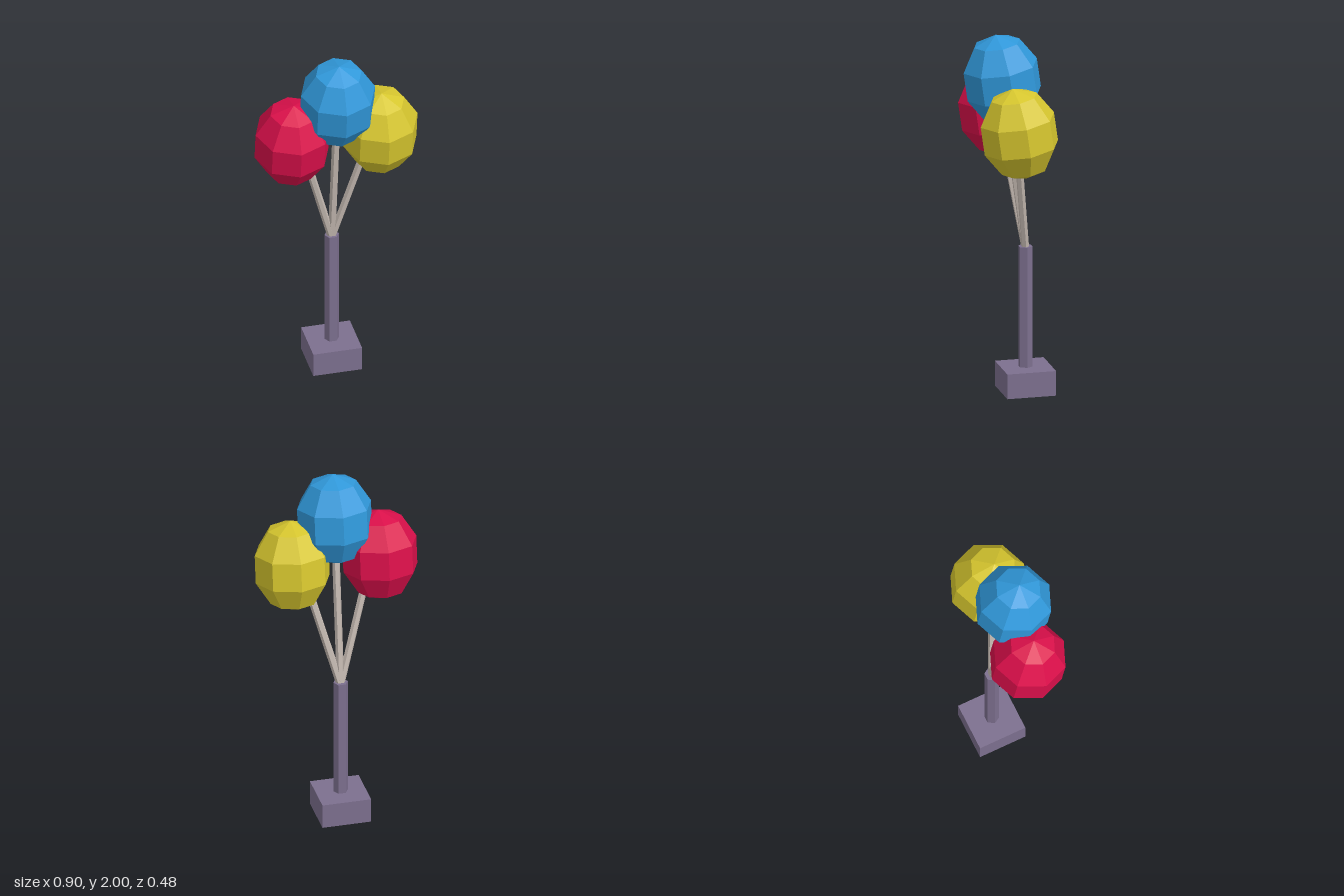
import * as THREE from 'three';

const flat = (name, color) => {
  const m = new THREE.MeshStandardMaterial({ color, flatShading: true });
  m.name = name;
  return m;
};

export function createModel() {
  const group = new THREE.Group();
  const purple = flat('dusty purple', 0x7c6f8e);
  const stick = flat('pale stick', 0xc4b9b1);
  const blue = flat('blue', 0x3098da);
  const red = flat('red', 0xda0f4a);
  const yellow = flat('yellow', 0xd6c62e);
  const Z = -0.105; // depth of the stand

  const add = (name, geometry, material, x, y, z) => {
    const mesh = new THREE.Mesh(geometry, material);
    mesh.name = name;
    mesh.position.set(x, y, z);
    group.add(mesh);
    return mesh;
  };

  // Stand
  add('base', new THREE.BoxGeometry(0.27, 0.138, 0.27), purple, 0, 0.069, Z);
  const pole = new THREE.CylinderGeometry(0.04, 0.04, 0.685, 6).rotateY(Math.PI / 6);
  add('pole', pole, purple, 0, 0.4675, Z);

  // Balloons, all leaning slightly forward, each on a thin stick
  const balloon = new THREE.SphereGeometry(0.2155, 8, 5).scale(1, 1.193, 1);
  const up = new THREE.Vector3(0, 1, 0);
  const foot = new THREE.Vector3(0, 0.79, Z);
  [
    ['blue', blue, [0, 1.75, 0.024], [0, 1.7, 0.018]],
    ['red', red, [-0.243, 1.515, -0.008], [-0.185, 1.46, -0.012]],
    ['yellow', yellow, [0.243, 1.515, -0.008], [0.185, 1.46, -0.012]],
  ].forEach(([name, material, centre, tip]) => {
    add(name + 'Balloon', balloon, material, ...centre).rotation.x = 0.143;

    const dir = new THREE.Vector3(...tip).sub(foot);
    const geometry = new THREE.CylinderGeometry(0.021, 0.021, dir.length(), 6).rotateY(Math.PI / 6);
    const mid = foot.clone().addScaledVector(dir, 0.5);
    add(name + 'Stick', geometry, stick, mid.x, mid.y, mid.z)
      .quaternion.setFromUnitVectors(up, dir.clone().normalize());
  });

  return group;
}
